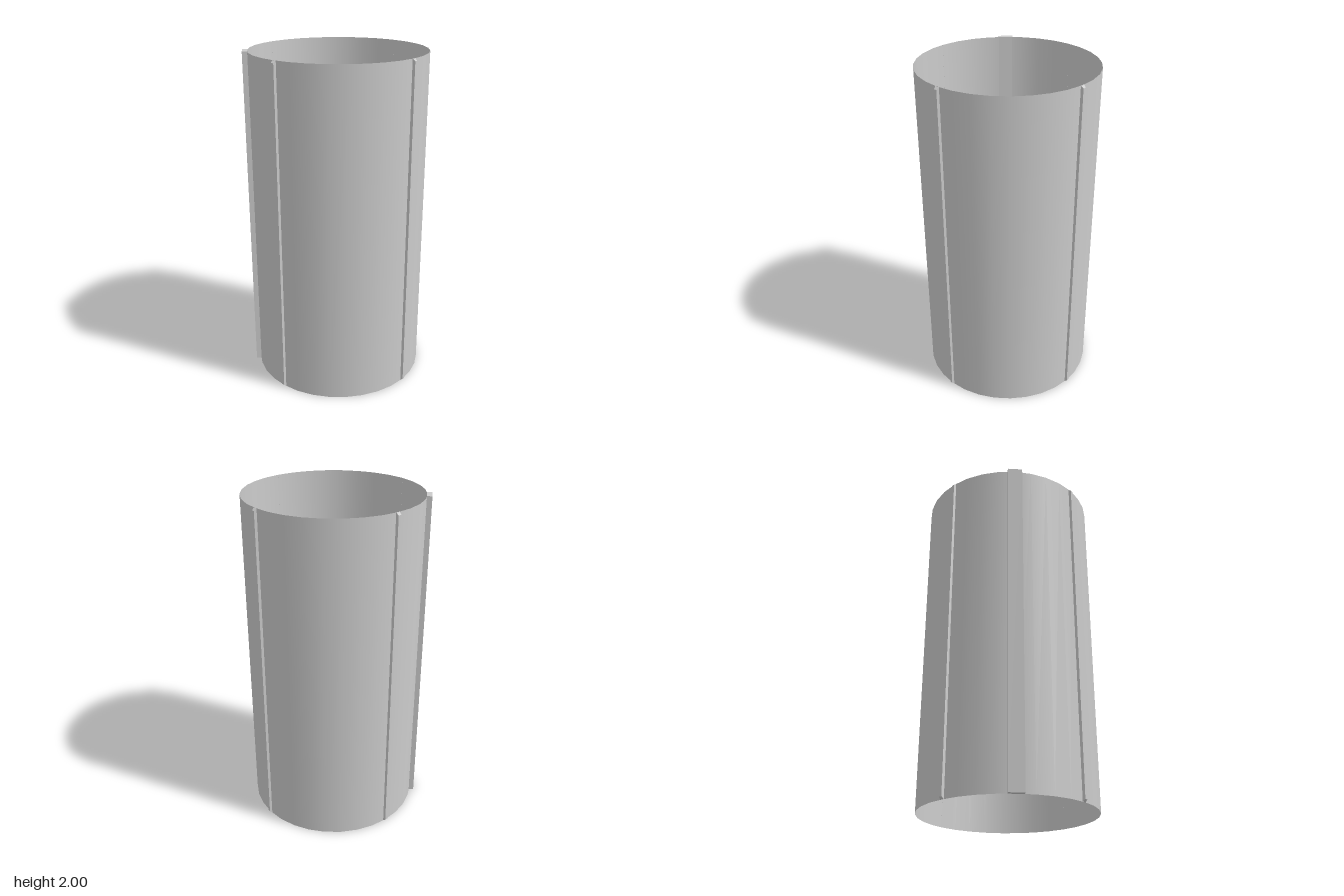
import * as THREE from 'three';

const HEIGHT = 2;
const RADIUS = 0.52;

// Rib: a long strip whose outer face is smaller all round, giving bevelled edges
function ribGeometry(width, depth, inset) {
  const geo = new THREE.BoxGeometry(width, HEIGHT, depth);
  const p = geo.attributes.position;
  for (let i = 0; i < p.count; i++) {
    if (p.getZ(i) > 0) {
      p.setX(i, p.getX(i) - Math.sign(p.getX(i)) * inset);
      p.setY(i, p.getY(i) - Math.sign(p.getY(i)) * 0.013);
    }
  }
  geo.computeVertexNormals();
  return geo;
}

export function createModel() {
  const model = new THREE.Group();
  model.name = 'ribbedTube';
  const grey = new THREE.MeshStandardMaterial({ color: 0xcccccc });
  const thin = new THREE.MeshStandardMaterial({ color: 0xcccccc, side: THREE.DoubleSide });

  // Places a mesh against the tube wall, facing outwards
  function addOnWall(name, geo, angle, radius) {
    const mesh = new THREE.Mesh(geo, grey);
    mesh.name = name;
    mesh.position.set(Math.sin(angle) * radius, HEIGHT / 2, Math.cos(angle) * radius);
    mesh.rotation.y = angle;
    model.add(mesh);
  }

  // Open thin-walled tube
  const tube = new THREE.Mesh(
    new THREE.CylinderGeometry(RADIUS, RADIUS, HEIGHT, 32, 1, true), thin);
  tube.name = 'tubeWall';
  tube.position.y = HEIGHT / 2;
  model.add(tube);

  // Four bevelled ribs, a quarter turn apart
  const rib = ribGeometry(0.026, 0.015, 0.004);
  ['frontRib', 'leftRib', 'backRib', 'rightRib'].forEach((name, i) =>
    addOnWall(name, rib, i * Math.PI / 2, 0.526));

  // Wider seam strip between the front and right ribs
  addOnWall('seamStrip', new THREE.BoxGeometry(0.088, HEIGHT, 0.03), -Math.PI / 4, 0.531);

  return model;
}
